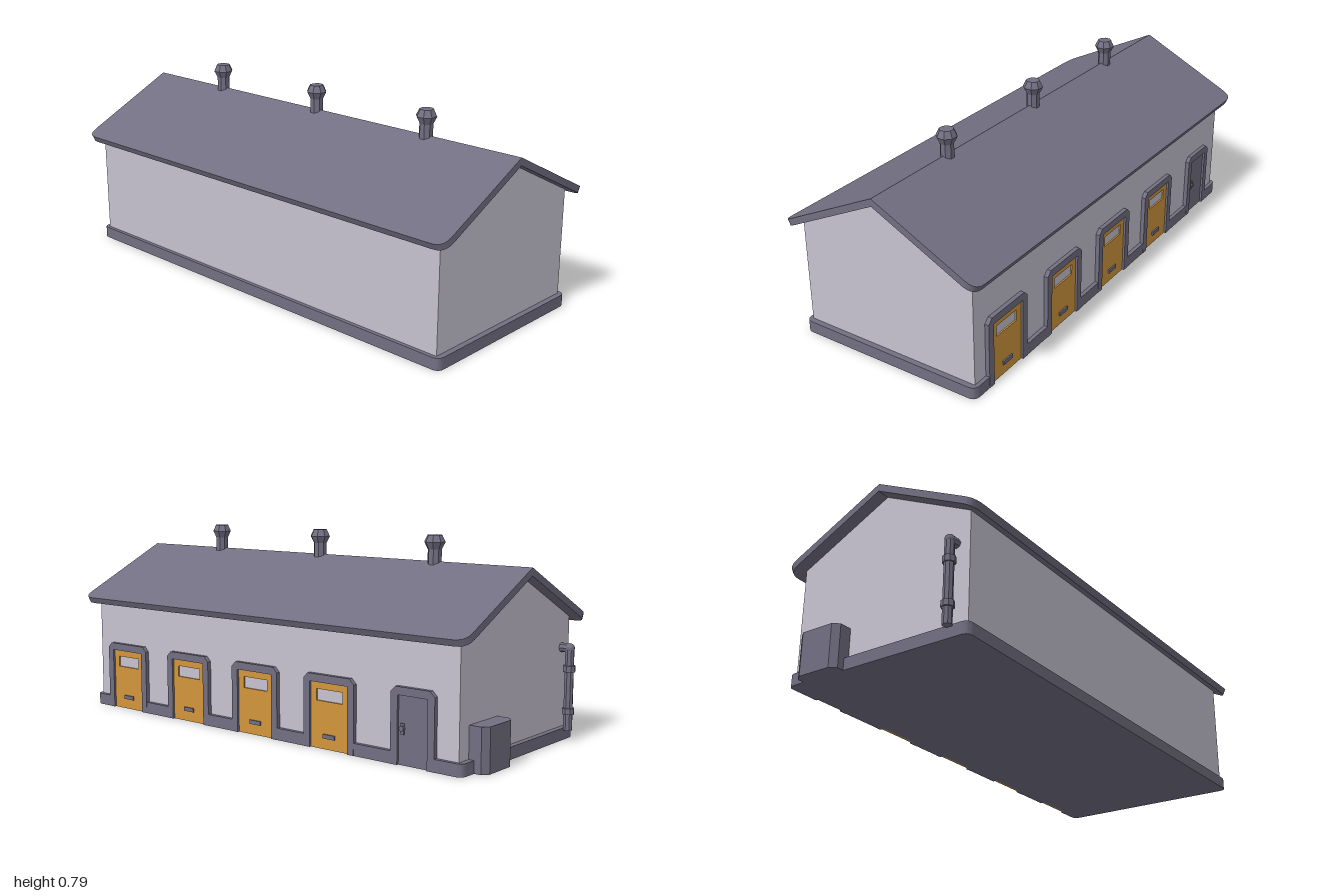
import * as THREE from 'three';
import { toCreasedNormals } from 'three/addons/utils/BufferGeometryUtils.js';

const material = (name, color) => {
  const m = new THREE.MeshStandardMaterial({ color });
  m.name = name;
  return m;
};

export function createModel() {
  const grey = material('slate grey', 0x726f82);
  const wall = material('pale wall', 0xc6c2d0);
  const gold = material('ochre door', 0xd2963c);
  const model = new THREE.Group();
  model.name = 'stableBlock';
  const xc = 0.0075; // middle of the building along x

  const add = (name, geometry, mat, x = 0, y = 0, z = 0, parent = model) => {
    const mesh = new THREE.Mesh(geometry, mat);
    mesh.name = name;
    mesh.position.set(x, y, z);
    parent.add(mesh);
    return mesh;
  };
  const extrude = (shape, depth) => toCreasedNormals(
    new THREE.ExtrudeGeometry(shape, { depth, bevelEnabled: false, curveSegments: 5 }), 0.6);
  const polygon = (pts) => new THREE.Shape(pts.map(([x, y]) => new THREE.Vector2(x, y)));
  const faceted = (geometry) => {
    const g = geometry.toNonIndexed();
    g.computeVertexNormals();
    return g;
  };

  // Doorways on the back wall: four stable doors and one narrow side door
  const doors = [0.76, 0.385, 0.01, -0.365].map((x) => ({ x, half: 0.12, stable: true }));
  doors.push({ x: -0.745, half: 0.094, stable: false });

  // Gabled walls
  const gable = polygon([[-0.38, 0.02], [0.38, 0.02], [0.38, 0.476], [0, 0.664], [-0.38, 0.476]]);
  const body = extrude(gable, 1.875);
  body.translate(0, 0, -0.9375);
  body.rotateY(Math.PI / 2);
  add('walls', body, wall, xc);

  // Plinth with rounded corners, cut away at the doorways
  const a = 0.96, b = 0.396, r = 0.03;
  const plan = new THREE.Shape();
  plan.moveTo(-a + r, -b);
  plan.lineTo(a - r, -b);
  plan.quadraticCurveTo(a, -b, a, -b + r);
  plan.lineTo(a, b - r);
  plan.quadraticCurveTo(a, b, a - r, b);
  for (const d of doors) {
    const c = d.x - xc;
    plan.lineTo(c + d.half, b);
    plan.lineTo(c + d.half, 0.379);
    plan.lineTo(c - d.half, 0.379);
    plan.lineTo(c - d.half, b);
  }
  plan.lineTo(-a + r, b);
  plan.quadraticCurveTo(-a, b, -a, b - r);
  plan.lineTo(-a, -b + r);
  plan.quadraticCurveTo(-a, -b, -a + r, -b);
  const plinth = extrude(plan, 0.047);
  plinth.rotateX(-Math.PI / 2);
  add('plinth', plinth, grey, xc);

  // Two roof slabs with rounded eave corners
  const w = 0.9875, len = 0.482, k = 0.05, pitch = 0.458;
  const slab = new THREE.Shape();
  slab.moveTo(-w, 0);
  slab.lineTo(w, 0);
  slab.lineTo(w, len - k);
  slab.quadraticCurveTo(w, len, w - k, len);
  slab.lineTo(-w + k, len);
  slab.quadraticCurveTo(-w, len, -w, len - k);
  const slabGeometry = extrude(slab, 0.027);
  slabGeometry.rotateX(Math.PI / 2 + pitch);
  for (const [name, turn] of [['frontRoof', 0], ['backRoof', Math.PI]]) {
    add(name, slabGeometry, grey, xc, 0.69, 0).rotation.y = turn;
  }

  // Ridge vents
  const ventProfile = [[0, 0.65], [0.027, 0.65], [0.027, 0.735], [0.041, 0.763], [0.028, 0.79], [0, 0.79]]
    .map(([x, y]) => new THREE.Vector2(x, y));
  const vent = faceted(new THREE.LatheGeometry(ventProfile, 8));
  for (const x of [-0.56, 0.005, 0.57]) add('ridgeVent', vent, grey, x).rotation.y = Math.PI / 8;

  // Door sets
  for (const { x, half, stable } of doors) {
    const door = new THREE.Group();
    door.name = stable ? 'stableDoor' : 'sideDoor';
    door.position.x = x;
    model.add(door);
    const h = 0.283, t = 0.03, cut = 0.02, inner = half - t;
    const frame = polygon([
      [-half, 0], [-inner, 0], [-inner, h - t], [inner, h - t], [inner, 0], [half, 0],
      [half, h - cut], [half - cut, h], [-half + cut, h], [-half, h - cut],
    ]);
    add('doorFrame', extrude(frame, 0.018), grey, 0, 0, -0.397, door);
    const panel = polygon([[-inner, 0], [inner, 0], [inner, h - t], [-inner, h - t]]);
    if (stable) {
      panel.holes.push(new THREE.Path([[-0.062, 0.182], [-0.062, 0.226], [0.062, 0.226], [0.062, 0.182]]
        .map(([px, py]) => new THREE.Vector2(px, py))));
      add('doorWindow', new THREE.BoxGeometry(0.124, 0.044, 0.004), wall, 0, 0.204, -0.38, door);
      add('doorSlot', new THREE.BoxGeometry(0.055, 0.016, 0.008), grey, 0, 0.05, -0.39, door);
    } else {
      add('latchPlate', new THREE.BoxGeometry(0.014, 0.04, 0.006), grey, 0.045, 0.132, -0.39, door);
      const knob = faceted(new THREE.CylinderGeometry(0.01, 0.01, 0.014, 8));
      add('doorKnob', knob, grey, 0.045, 0.134, -0.393, door).rotation.x = Math.PI / 2;
    }
    add('doorPanel', extrude(panel, 0.01), stable ? gold : grey, 0, 0, -0.388, door);
  }

  // Chamfered storage box on the end wall
  const boxPlan = polygon([[-0.925, 0.135], [-0.98, 0.135], [-1, 0.16], [-1, 0.295], [-0.98, 0.32], [-0.925, 0.32]]);
  const box = extrude(boxPlan, 0.168);
  box.rotateX(-Math.PI / 2);
  add('wallBox', box, grey);

  // Drain pipe with elbow and collars
  const pipe = new THREE.Group();
  pipe.name = 'drainPipe';
  pipe.position.set(-0.967, 0, 0.322);
  model.add(pipe);
  const tube = (radius, length) => faceted(new THREE.CylinderGeometry(radius, radius, length, 8));
  add('pipeShaft', tube(0.018, 0.32), grey, 0, 0.2, 0, pipe);
  add('pipeElbow', new THREE.SphereGeometry(0.019, 10, 8), grey, 0, 0.359, 0, pipe);
  add('pipeInlet', tube(0.018, 0.045), grey, 0.022, 0.359, 0, pipe).rotation.z = Math.PI / 2;
  for (const y of [0.115, 0.28]) add('pipeCollar', tube(0.024, 0.024), grey, 0, y, 0, pipe);

  return model;
}
